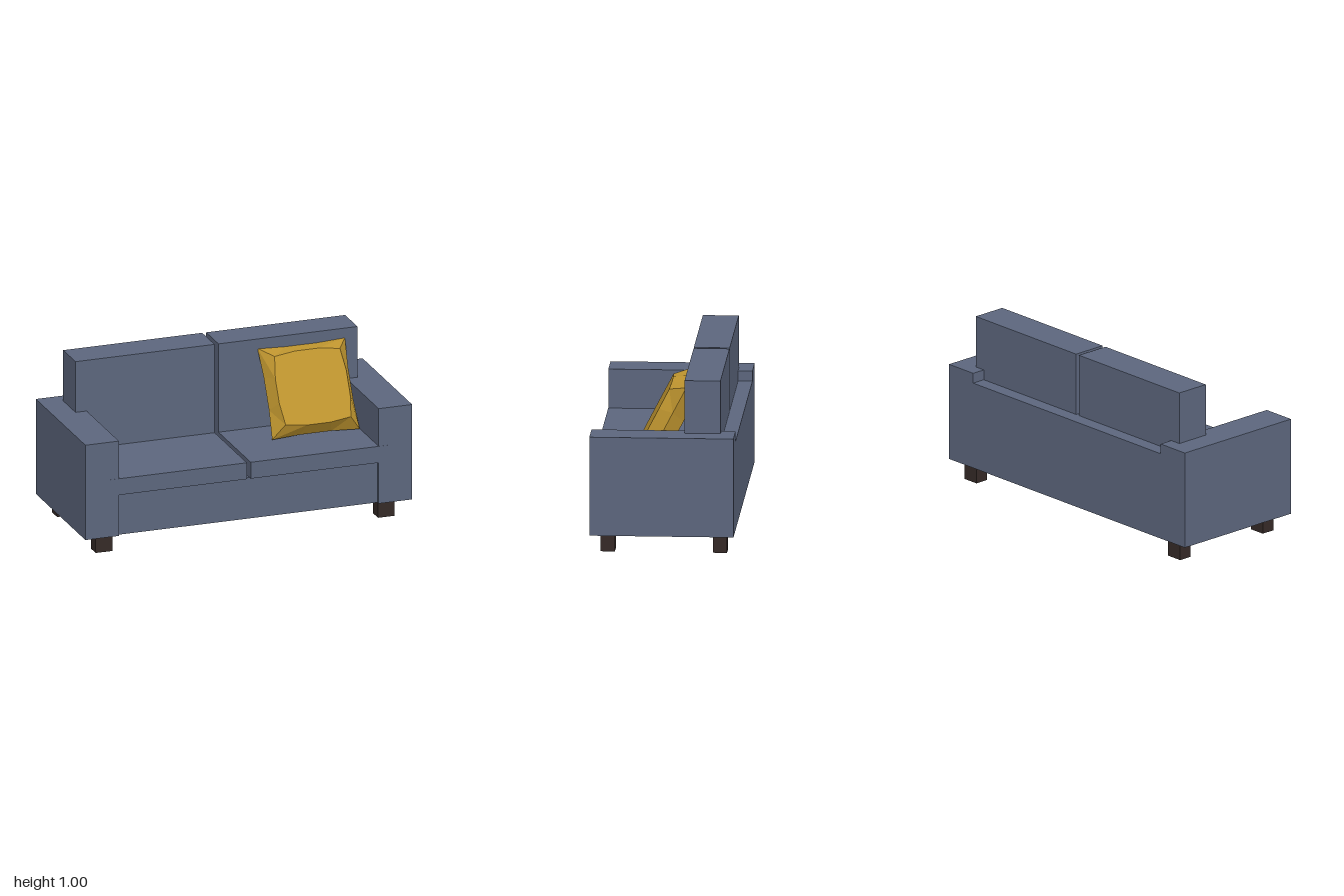
import * as THREE from 'three';

const fabric = new THREE.MeshStandardMaterial({ color: 0x5c667d });
const gold = new THREE.MeshStandardMaterial({ color: 0xbf952f, flatShading: true });
const wood = new THREE.MeshStandardMaterial({ color: 0x352a27 });

// Box given by its minimum and maximum on each axis
function block(name, material, [x0, x1], [y0, y1], [z0, z1]) {
  const mesh = new THREE.Mesh(new THREE.BoxGeometry(x1 - x0, y1 - y0, z1 - z0), material);
  mesh.position.set((x0 + x1) / 2, (y0 + y1) / 2, (z0 + z1) / 2);
  mesh.name = name;
  return mesh;
}

// Twelve-point square outline; sides bow between corner and mid half-widths
function outline(corner, mid, z) {
  const points = [];
  for (let side = 0; side < 4; side++) {
    const a = side * Math.PI / 2, c = Math.cos(a), s = Math.sin(a);
    for (const [x, y] of [[corner, -corner], [mid, -corner * 0.36], [mid, corner * 0.36]]) {
      points.push([x * c - y * s, x * s + y * c, z]);
    }
  }
  return points;
}

// Faceted pillow: flat back panel, wide rim, flat front panel
function pillowGeometry() {
  const rings = [outline(0.2, 0.217, -0.08), outline(0.268, 0.258, 0), outline(0.2, 0.217, 0.08)];
  const pos = [];
  const tri = (...corners) => corners.forEach((p) => pos.push(...p));
  for (let i = 0; i < 12; i++) {
    const j = (i + 1) % 12;
    for (let r = 0; r < 2; r++) {
      const lower = rings[r], upper = rings[r + 1];
      tri(lower[i], lower[j], upper[j]);
      tri(lower[i], upper[j], upper[i]);
    }
    tri([0, 0, 0.08], rings[2][i], rings[2][j]);
    tri([0, 0, -0.08], rings[0][j], rings[0][i]);
  }
  const geometry = new THREE.BufferGeometry();
  geometry.setAttribute('position', new THREE.Float32BufferAttribute(pos, 3));
  geometry.computeVertexNormals();
  return geometry;
}

export function createModel() {
  const sofa = new THREE.Group();
  sofa.name = 'sofa';

  // Frame
  sofa.add(block('base', fabric, [-0.795, 0.795], [0.11, 0.36], [-0.415, 0.395]));
  sofa.add(block('backrest', fabric, [-0.795, 0.795], [0.11, 0.63], [-0.415, -0.21]));

  // Mirrored arms, cushions and legs
  for (const [label, s] of [['left', 1], ['right', -1]]) {
    const span = (a, b) => (s > 0 ? [a, b] : [-b, -a]);
    sofa.add(block(label + 'Arm', fabric, span(0.795, 1), [0.11, 0.69], [-0.415, 0.415]));
    sofa.add(block(label + 'SeatCushion', fabric, span(0.012, 0.863), [0.36, 0.46], [-0.33, 0.416]));
    sofa.add(block(label + 'BackCushion', fabric, span(0.012, 0.863), [0.46, 1], [-0.332, -0.125]));
    sofa.add(block(label + 'FrontLeg', wood, span(0.813, 0.915), [0, 0.11], [0.273, 0.355]));
    sofa.add(block(label + 'BackLeg', wood, span(0.813, 0.915), [0, 0.11], [-0.373, -0.291]));
  }

  // Pillow leaning on the left back cushion
  const pillow = new THREE.Mesh(pillowGeometry(), gold);
  pillow.name = 'pillow';
  pillow.position.set(0.52, 0.703, -0.007);
  pillow.rotation.x = -0.48;
  sofa.add(pillow);

  return sofa;
}
